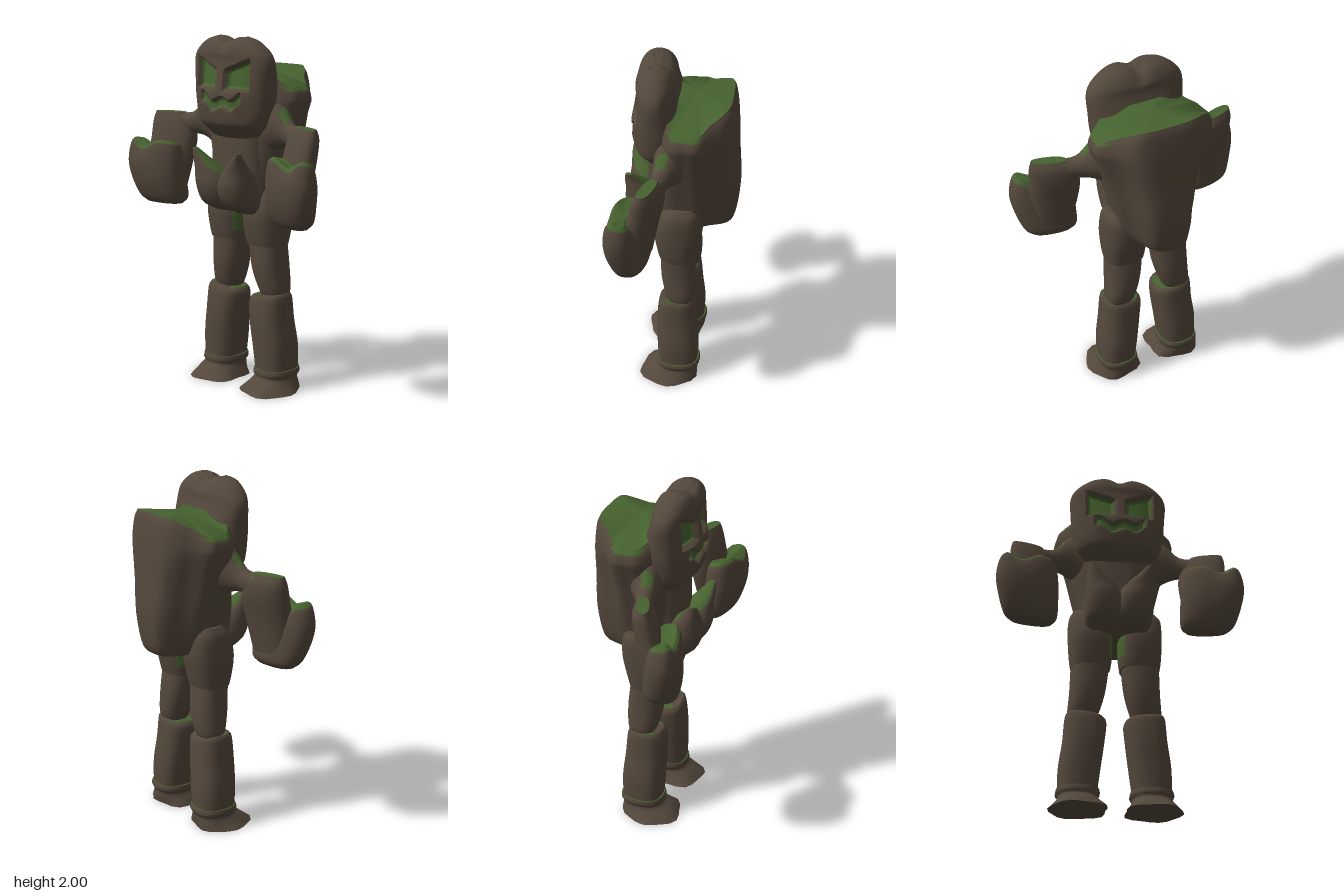
import * as THREE from 'three';
import { toCreasedNormals } from 'three/addons/utils/BufferGeometryUtils.js';

const bark = new THREE.MeshStandardMaterial({ color: 0x54483c });
bark.name = 'bark brown';
const moss = new THREE.MeshStandardMaterial({ color: 0x46622f });
moss.name = 'moss green';

const step = THREE.MathUtils.smoothstep;

// Rounded-square ring; a higher power makes it boxier
const squircle = (p) => (t) => {
  const c = Math.cos(t * Math.PI * 2), s = Math.sin(t * Math.PI * 2);
  const r = 1 / Math.pow(Math.abs(c) ** p + Math.abs(s) ** p, 1 / p);
  return [c * r, s * r];
};

// Smooth loft through sections [u, along, v, radiusU, radiusV], ascending along the axis.
// Axis 'y': u = x, v = z. Axis 'x': u = z, v = y. Faces passing isMoss are green.
function loft(name, sections, o = {}) {
  const { n = 24, sub = 4, ring = squircle(2.5), axis = 'y', side = 1, bend, isMoss, crease = 0.7 } = o;
  const mids = new THREE.CatmullRomCurve3(sections.map((s) => new THREE.Vector3(s[0], s[1], s[2])), false, 'catmullrom', 0.5);
  const radii = new THREE.CatmullRomCurve3(sections.map((s) => new THREE.Vector3(s[3], s[4], 0)), false, 'catmullrom', 0.5);
  const rows = (sections.length - 1) * sub;
  const pos = [], idx = [];
  const add = (u, a, v) => {
    const p = axis === 'y' ? new THREE.Vector3(u, a, v) : new THREE.Vector3(a, v, u);
    if (bend) bend(p);
    pos.push(p.x * side, p.y, p.z);
  };
  const tri = (a, b, c) => (side > 0 ? idx.push(a, b, c) : idx.push(a, c, b));
  for (let i = 0; i <= rows; i++) {
    const m = mids.getPoint(i / rows), r = radii.getPoint(i / rows);
    for (let j = 0; j < n; j++) {
      const [u, v] = ring(j / n);
      add(m.x + u * r.x, m.y, m.z + v * r.y);
    }
  }
  const first = sections[0], last = sections[sections.length - 1];
  add(first[0], first[1], first[2]);
  add(last[0], last[1], last[2]);
  const low = (rows + 1) * n, high = low + 1;
  for (let j = 0; j < n; j++) {
    const k = (j + 1) % n;
    for (let i = 0; i < rows; i++) {
      const a = i * n + j, b = i * n + k;
      tri(a, a + n, b);
      tri(b, a + n, b + n);
    }
    tri(low, j, k);
    tri(high, rows * n + k, rows * n + j);
  }
  let geo = new THREE.BufferGeometry();
  geo.setAttribute('position', new THREE.Float32BufferAttribute(pos, 3));
  geo.setIndex(idx);
  geo = toCreasedNormals(geo, crease);

  // Sort faces into bark and moss groups
  const P = geo.attributes.position, brown = [], green = [];
  const t = new THREE.Triangle(), nor = new THREE.Vector3(), mid = new THREE.Vector3();
  for (let i = 0; i < P.count; i += 3) {
    t.setFromAttributeAndIndices(P, i, i + 1, i + 2);
    t.getNormal(nor);
    t.getMidpoint(mid);
    (isMoss && isMoss(mid, nor) ? green : brown).push(i, i + 1, i + 2);
  }
  geo.setIndex([...brown, ...green]);
  geo.addGroup(0, brown.length, 0);
  geo.addGroup(brown.length, green.length, 1);
  const mesh = new THREE.Mesh(geo, [bark, moss]);
  mesh.name = name;
  return mesh;
}

// Torso and humped back: six-sided outline, mossy top sloping to the shoulders
function torso() {
  const half = [[0.6, 0.92], [0.96, 0.55], [1, 0.2], [1, -0.12], [0.78, -0.45], [0.62, -0.78], [0.45, -0.95]];
  const outline = new THREE.CatmullRomCurve3(
    [[0, 1], ...half, [0, -1], ...half.map(([x, z]) => [-x, z]).reverse()]
      .reverse().map(([x, z]) => new THREE.Vector3(x, z, 0)), true);
  return loft('torso', [
    [0, 1.02, -0.07, 0.12, 0.17], [0, 1.06, -0.07, 0.18, 0.235], [0, 1.25, -0.09, 0.23, 0.245],
    [0, 1.45, -0.09, 0.28, 0.235], [0, 1.65, -0.1, 0.34, 0.215], [0, 1.78, -0.1, 0.34, 0.2], [0, 1.825, -0.1, 0.31, 0.185],
  ], {
    n: 72,
    ring: (t) => { const p = outline.getPoint(1 - t); return [-p.x, p.y]; },
    bend: (p) => {
      p.y -= 0.09 * step(Math.abs(p.x), 0.14, 0.32) * step(p.y, 1.6, 1.8);
    },
    isMoss: (p, nor) => p.y > 1.6 && nor.y > 0.5,
  });
}

// Head with sunken eyes, slanted brow and a crooked mouth
function head() {
  const eye = (x, y, grow) => {
    const a = Math.abs(x);
    return Math.min(a - 0.042, 0.182 - a, y - 1.725, 1.815 + 0.4 * (a - 0.042) - y) + grow;
  };
  const mouth = (x, y) => {
    const line = 1.635 + 0.014 * Math.sin(x * 45 + 0.6) + 1.5 * x * x;
    return Math.min(0.024 - Math.abs(y - line), 0.145 - Math.abs(x));
  };
  return loft('head', [
    [0, 1.43, 0.08, 0.16, 0.08], [0, 1.49, 0.1, 0.21, 0.11], [0, 1.54, 0.105, 0.245, 0.14], [0, 1.65, 0.105, 0.268, 0.145],
    [0, 1.75, 0.11, 0.275, 0.135], [0, 1.86, 0.12, 0.28, 0.11], [0, 1.92, 0.125, 0.25, 0.105],
    [0, 1.975, 0.13, 0.18, 0.08], [0, 2.0, 0.13, 0.11, 0.035],
  ], {
    n: 200, sub: 12, ring: squircle(2.3),
    bend: (p) => {
      if (p.z > 0.13) {
        const lips = Math.exp(-(((p.y - 1.65) / 0.07) ** 2)) * (1 - step(Math.abs(p.x), 0.12, 0.2));
        p.z += 0.012 * lips - 0.04 * step(eye(p.x, p.y, 0.02), 0, 0.03) - 0.03 * step(mouth(p.x, p.y), -0.012, 0.01);
      }
      p.y -= 0.03 * Math.exp(-((p.x / 0.05) ** 2)) * step(p.y, 1.88, 1.98);
    },
    isMoss: (p) => p.z > 0.1 && (eye(p.x, p.y, 0.003) > 0 || mouth(p.x, p.y) > 0),
  });
}

// Chest filling the front between chin and belly
const chest = () => loft('chest', [
  [0, 1.02, 0.04, 0.16, 0.09], [0, 1.08, 0.05, 0.19, 0.13], [0, 1.3, 0.05, 0.19, 0.125], [0, 1.5, 0.05, 0.2, 0.12],
], { ring: squircle(2.8) });

function arm(side) {
  const g = new THREE.Group();
  g.name = side > 0 ? 'leftArm' : 'rightArm';
  g.add(
    loft('upperArm', [
      [0.01, 0.18, 1.52, 0.11, 0.2], [0.03, 0.28, 1.525, 0.085, 0.125],
      [0.065, 0.37, 1.485, 0.052, 0.065], [0.1, 0.48, 1.47, 0.055, 0.065],
    ], {
      axis: 'x', side, ring: squircle(2),
      isMoss: (p, nor) => nor.y > 0.55 && Math.abs(Math.abs(p.x) - 0.33) < 0.025 && p.z > 0.03,
    }),
    loft('forearm', [
      [0.5, 1.1, 0.16, 0.1, 0.05], [0.49, 1.28, 0.15, 0.125, 0.07], [0.49, 1.4, 0.125, 0.128, 0.072],
      [0.505, 1.49, 0.11, 0.115, 0.06], [0.52, 1.54, 0.11, 0.09, 0.035],
    ], {
      side, isMoss: (p, nor) => nor.y > 0.6 && p.y > 1.45,
      bend: (p) => { p.z += 0.3 * (p.x - 0.5); },
    }),
    loft('hand', [
      [0.495, 1.02, 0.2, 0.115, 0.055], [0.5, 1.06, 0.205, 0.15, 0.085], [0.515, 1.16, 0.225, 0.168, 0.097],
      [0.525, 1.26, 0.235, 0.175, 0.095], [0.523, 1.34, 0.235, 0.16, 0.08], [0.523, 1.37, 0.235, 0.135, 0.058],
    ], {
      side, n: 40, isMoss: (p, nor) => nor.y > 0.55 && p.y > 1.25,
      // Turned outward, with knuckles rising at both ends of the mossy dip
      bend: (p) => {
        const top = step(p.y, 1.24, 1.36);
        p.y += top * (0.05 * step(p.x, 0.58, 0.65) + 0.045 * step(0.58 - p.x, 0.02, 0.13) - 0.03 + 0.2 * (p.z - 0.235));
        p.z += 0.15 * (p.x - 0.52);
      },
    }),
  );
  return g;
}

function leg(side) {
  const g = new THREE.Group();
  g.name = side > 0 ? 'leftLeg' : 'rightLeg';
  g.add(
    loft('thigh', [
      [0.14, 0.84, 0, 0.112, 0.1], [0.14, 0.9, 0, 0.12, 0.115], [0.142, 1.02, -0.005, 0.125, 0.135],
      [0.15, 1.14, -0.02, 0.115, 0.115], [0.16, 1.195, -0.03, 0.08, 0.075],
    ], {
      side, ring: squircle(2.8),
      // Moss on the inner thigh
      isMoss: (p, nor) => nor.x * side < -0.8 && p.y > 0.9 && p.y < 1.06,
    }),
    loft('knee', [
      [0.18, 0.52, -0.02, 0.06, 0.05], [0.178, 0.57, -0.02, 0.085, 0.08],
      [0.155, 0.7, -0.01, 0.1, 0.1], [0.142, 0.86, 0, 0.108, 0.095],
    ], { side }),
    loft('shin', [
      [0.205, 0.1, -0.01, 0.105, 0.115], [0.195, 0.25, -0.008, 0.115, 0.12],
      [0.175, 0.4, 0, 0.115, 0.115], [0.165, 0.52, 0, 0.115, 0.105], [0.167, 0.55, 0, 0.1, 0.09],
    ], {
      side, ring: squircle(2.8), isMoss: (p, nor) => nor.y > 0.8 && p.z < 0.04,
      bend: (p) => { p.y += 0.12 * (p.x - 0.165) * step(p.y, 0.4, 0.54); },
    }),
    loft('foot', [
      [0.205, 0, 0.045, 0.155, 0.165], [0.203, 0.04, 0.02, 0.125, 0.145], [0.203, 0.075, -0.005, 0.108, 0.122],
      [0.203, 0.1, -0.01, 0.12, 0.13], [0.203, 0.125, -0.01, 0.117, 0.125],
    ], {
      side, n: 20, isMoss: (p, nor) => nor.y > 0.9,
      // Ragged flared sole
      bend: (p) => {
        const a = Math.atan2(p.z - 0.04, p.x - 0.205), k = 1 + 0.06 * Math.cos(5 * a) * (1 - step(p.y, 0, 0.06));
        p.x = 0.205 + (p.x - 0.205) * k;
        p.z = 0.04 + (p.z - 0.04) * k;
      },
    }),
  );
  return g;
}

// Paired belly bulges that merge below and rise to blunt outer points
const bellyBulge = (side) => loft(side > 0 ? 'leftBellyBulge' : 'rightBellyBulge', [
  [0.08, 1.025, 0.1, 0.08, 0.06], [0.08, 1.08, 0.14, 0.11, 0.115], [0.085, 1.18, 0.18, 0.11, 0.115],
  [0.105, 1.26, 0.21, 0.085, 0.08], [0.14, 1.33, 0.245, 0.04, 0.045], [0.165, 1.38, 0.265, 0.014, 0.018],
], { side, ring: squircle(2.2), isMoss: (p, nor) => nor.y > 0.55 && p.y > 1.2 });

export function createModel() {
  const model = new THREE.Group();
  model.name = 'mossyGolem';
  model.add(torso(), head(), chest());
  for (const side of [1, -1]) model.add(arm(side), leg(side), bellyBulge(side));
  return model;
}
